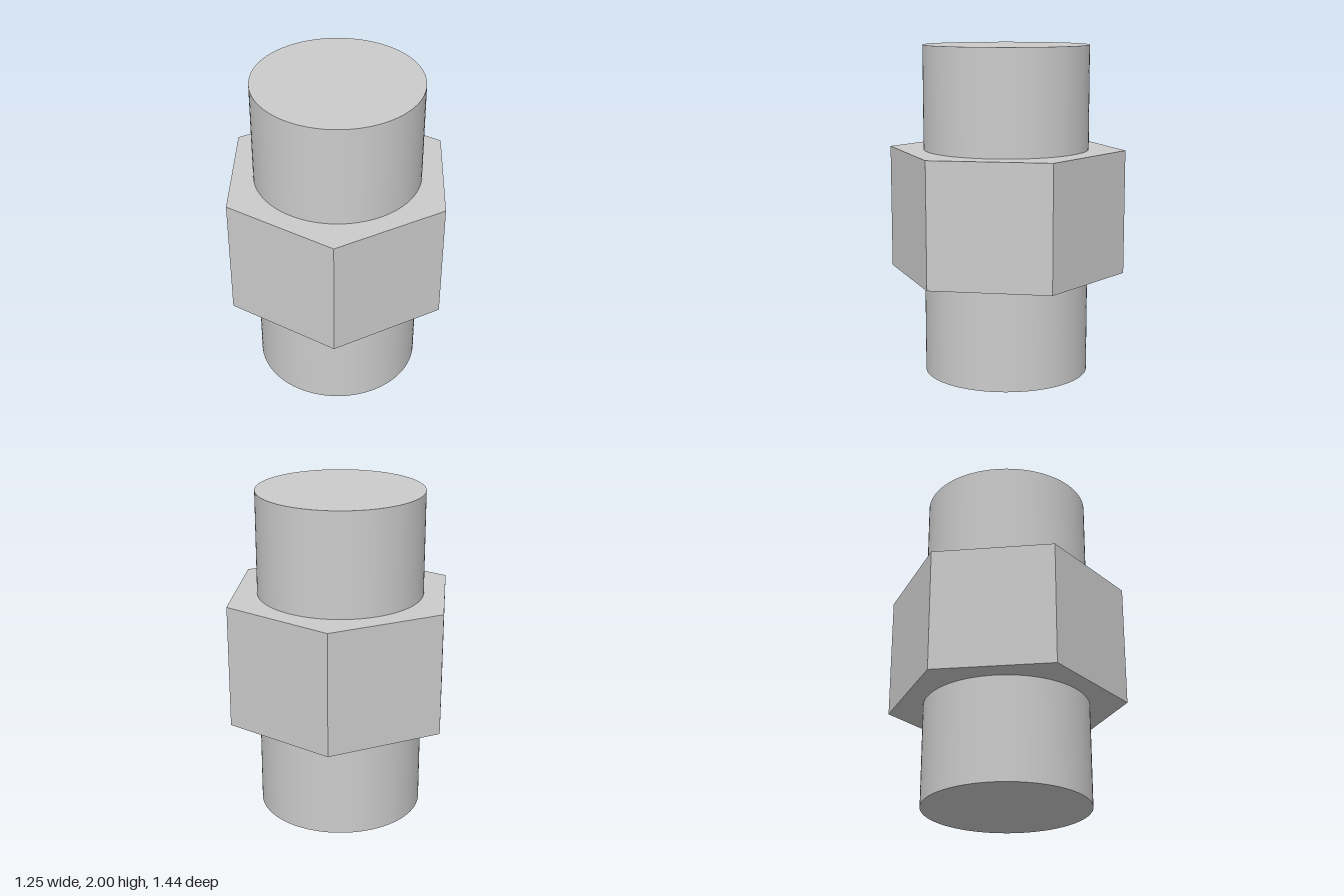
import * as THREE from 'three';

const BODY_RADIUS = 0.5;
const HEX_APOTHEM = 0.625;
const HEX_BOTTOM = 0.625;
const HEX_TOP = 1.375;
const HEIGHT = 2;

export function createModel() {
  const group = new THREE.Group();
  group.name = 'hexFitting';

  // A capped upright prism or cylinder between two heights
  const addUpright = (name, radius, bottom, top, sides, flatShading) => {
    const geometry = new THREE.CylinderGeometry(radius, radius, top - bottom, sides);
    const material = new THREE.MeshStandardMaterial({ color: 0xcccccc, flatShading });
    const mesh = new THREE.Mesh(geometry, material);
    mesh.name = name;
    mesh.position.y = (bottom + top) / 2;
    group.add(mesh);
  };

  // Round pipe ends above and below the nut
  addUpright('lowerPipeEnd', BODY_RADIUS, 0, HEX_BOTTOM, 96, false);
  addUpright('upperPipeEnd', BODY_RADIUS, HEX_TOP, HEIGHT, 96, false);

  // Hexagonal nut, with corners pointing to the front and back
  addUpright('hexNut', HEX_APOTHEM / Math.cos(Math.PI / 6), HEX_BOTTOM, HEX_TOP, 6, true);

  return group;
}
